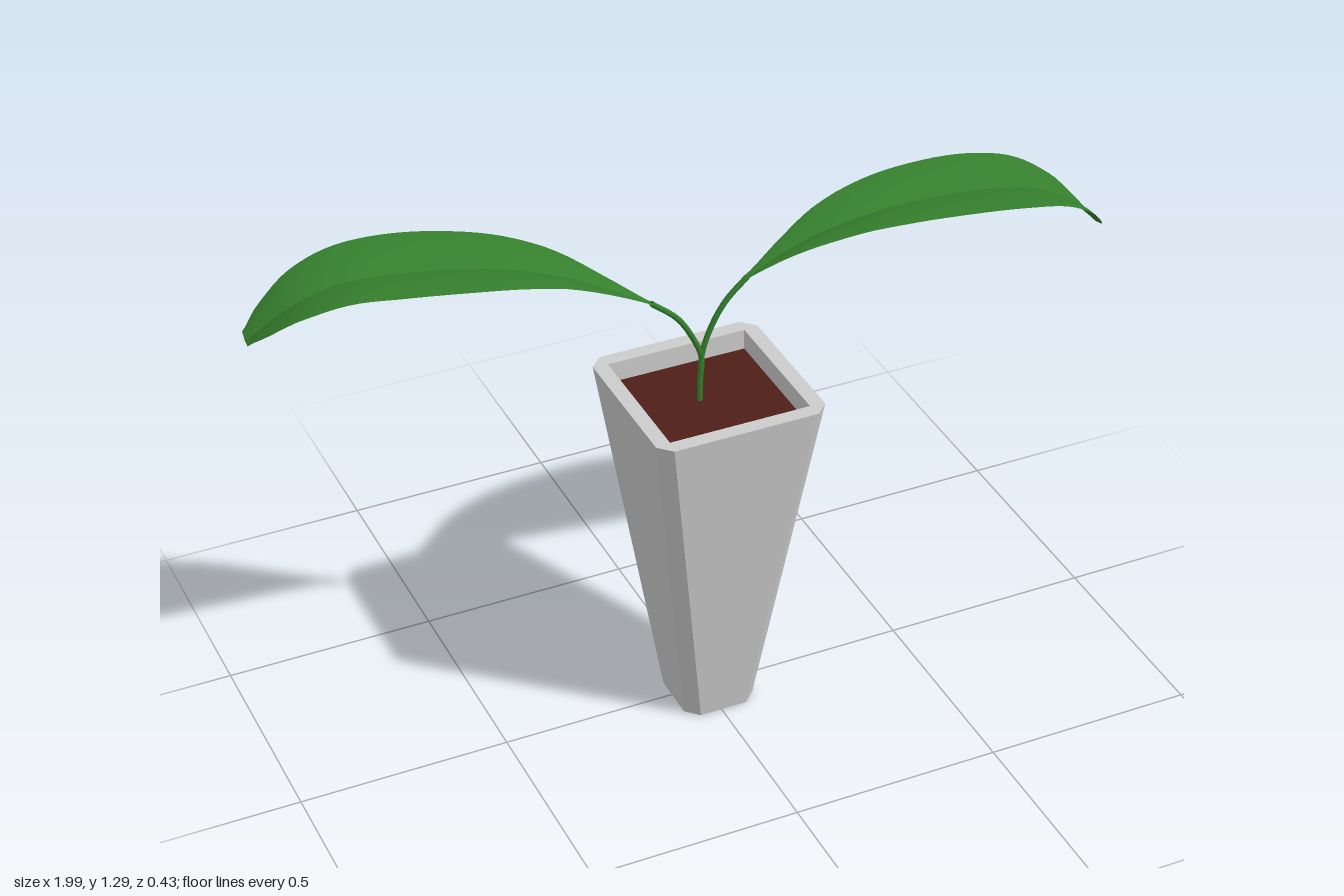
import * as THREE from 'three';

const POT_X = 0.005, POT_Z = 0.01;

// Square ring with cut corners, counter-clockwise from above
function ring(h, c, y) {
  const k = h - c;
  return [[h, -k], [k, -h], [-k, -h], [-h, -k], [-h, k], [-k, h], [k, h], [h, k]]
    .map(([x, z]) => [x + POT_X, y, z + POT_Z]);
}

// Faceted skin running through a list of rings
function loft(rings) {
  const pos = [];
  for (let r = 0; r < rings.length - 1; r++) {
    const a = rings[r], b = rings[r + 1];
    for (let i = 0; i < a.length; i++) {
      const j = (i + 1) % a.length;
      pos.push(...a[i], ...a[j], ...b[j], ...a[i], ...b[j], ...b[i]);
    }
  }
  const geo = new THREE.BufferGeometry();
  geo.setAttribute('position', new THREE.Float32BufferAttribute(pos, 3));
  geo.computeVertexNormals();
  return geo;
}

// Half of a leaf blade: rows are [x, y, z, half width] along the midrib
function halfBlade(rows, side, sign) {
  const LONG = 40, ACROSS = 8;
  const rib = new THREE.CatmullRomCurve3(rows.map(r => new THREE.Vector3(r[0], r[1], r[2])));
  const width = new THREE.SplineCurve(rows.map((r, i) => new THREE.Vector2(i, r[3])));
  const pos = [], idx = [];
  for (let i = 0; i <= LONG; i++) {
    const p = rib.getPoint(i / LONG), w = Math.max(width.getPoint(i / LONG).y, 0.002);
    for (let j = 0; j <= ACROSS; j++) {
      const t = j / ACROSS;
      const lift = 0.02 * Math.min(1, w / 0.09) * (1 - (1 - t) ** 2);
      pos.push(p.x + side.x * sign * w * t, p.y + lift, p.z + side.z * sign * w * t);
      if (i < LONG && j < ACROSS) {
        const a = i * (ACROSS + 1) + j, b = a + ACROSS + 1;
        if (sign > 0) idx.push(a, a + 1, b, a + 1, b + 1, b);
        else idx.push(a, b, a + 1, a + 1, b, b + 1);
      }
    }
  }
  const geo = new THREE.BufferGeometry();
  geo.setAttribute('position', new THREE.Float32BufferAttribute(pos, 3));
  geo.setIndex(idx);
  geo.computeVertexNormals();
  return geo;
}

export function createModel() {
  const model = new THREE.Group();
  const potMat = new THREE.MeshStandardMaterial({ color: 0xcccccc, flatShading: true });
  const soilMat = new THREE.MeshStandardMaterial({ color: 0x4e1f18 });
  const leafMat = new THREE.MeshStandardMaterial({ color: 0x357f2d, side: THREE.DoubleSide });
  const add = (parent, name, geo, mat) => {
    const mesh = new THREE.Mesh(geo, mat);
    mesh.name = name;
    parent.add(mesh);
    return mesh;
  };

  // Tapered planter: base, walls, rim and inner walls
  add(model, 'planter', loft([
    ring(0.002, 0.001, 0),
    ring(0.088, 0.03, 0),
    ring(0.203, 0.03, 0.855),
    ring(0.168, 0.001, 0.855),
    ring(0.168, 0.001, 0.79),
  ]), potMat);

  // Soil
  add(model, 'soil', new THREE.BoxGeometry(0.336, 0.02, 0.336), soilMat)
    .position.set(POT_X, 0.795, POT_Z);

  // Two stems sharing a base, each carrying an arching folded leaf
  const plants = [
    {
      name: 'left',
      stem: [[-0.005, 0.79], [-0.003, 0.86], [0.002, 0.93], [0.028, 1.0], [0.06, 1.05], [0.11, 1.097]],
      rows: [
        [0.1, 1.09, -0.014, 0.006], [0.2, 1.135, -0.015, 0.036], [0.3, 1.165, -0.015, 0.073],
        [0.45, 1.183, -0.016, 0.109], [0.6, 1.18, -0.017, 0.128], [0.73, 1.165, -0.017, 0.133],
        [0.84, 1.135, -0.018, 0.122], [0.92, 1.085, -0.018, 0.095], [0.97, 1.037, -0.018, 0.062],
        [0.995, 1.01, -0.018, 0.026],
      ],
    },
    {
      name: 'right',
      stem: [[-0.005, 0.79], [-0.004, 0.86], [0, 0.915], [-0.025, 0.98], [-0.06, 1.035], [-0.12, 1.088]],
      rows: [
        [-0.11, 1.08, -0.016, 0.006], [-0.2, 1.133, -0.027, 0.038], [-0.3, 1.185, -0.04, 0.08],
        [-0.42, 1.228, -0.055, 0.113], [-0.55, 1.253, -0.072, 0.13], [-0.68, 1.266, -0.088, 0.132],
        [-0.79, 1.263, -0.103, 0.118], [-0.88, 1.235, -0.114, 0.098], [-0.96, 1.187, -0.125, 0.06],
        [-0.996, 1.16, -0.13, 0.03],
      ],
    },
  ];
  for (const { name, stem, rows } of plants) {
    const plant = new THREE.Group();
    plant.name = name + 'Shoot';
    const path = new THREE.CatmullRomCurve3(stem.map(([x, y]) => new THREE.Vector3(x, y, -0.013)));
    add(plant, 'stem', new THREE.TubeGeometry(path, 24, 0.0065, 8), leafMat);

    // Level direction across the blade, to the right of its heading
    const first = rows[0], last = rows[rows.length - 1];
    const side = new THREE.Vector3(first[2] - last[2], 0, last[0] - first[0]).normalize();
    add(plant, 'leafHalfA', halfBlade(rows, side, 1), leafMat);
    add(plant, 'leafHalfB', halfBlade(rows, side, -1), leafMat);
    model.add(plant);
  }
  return model;
}
